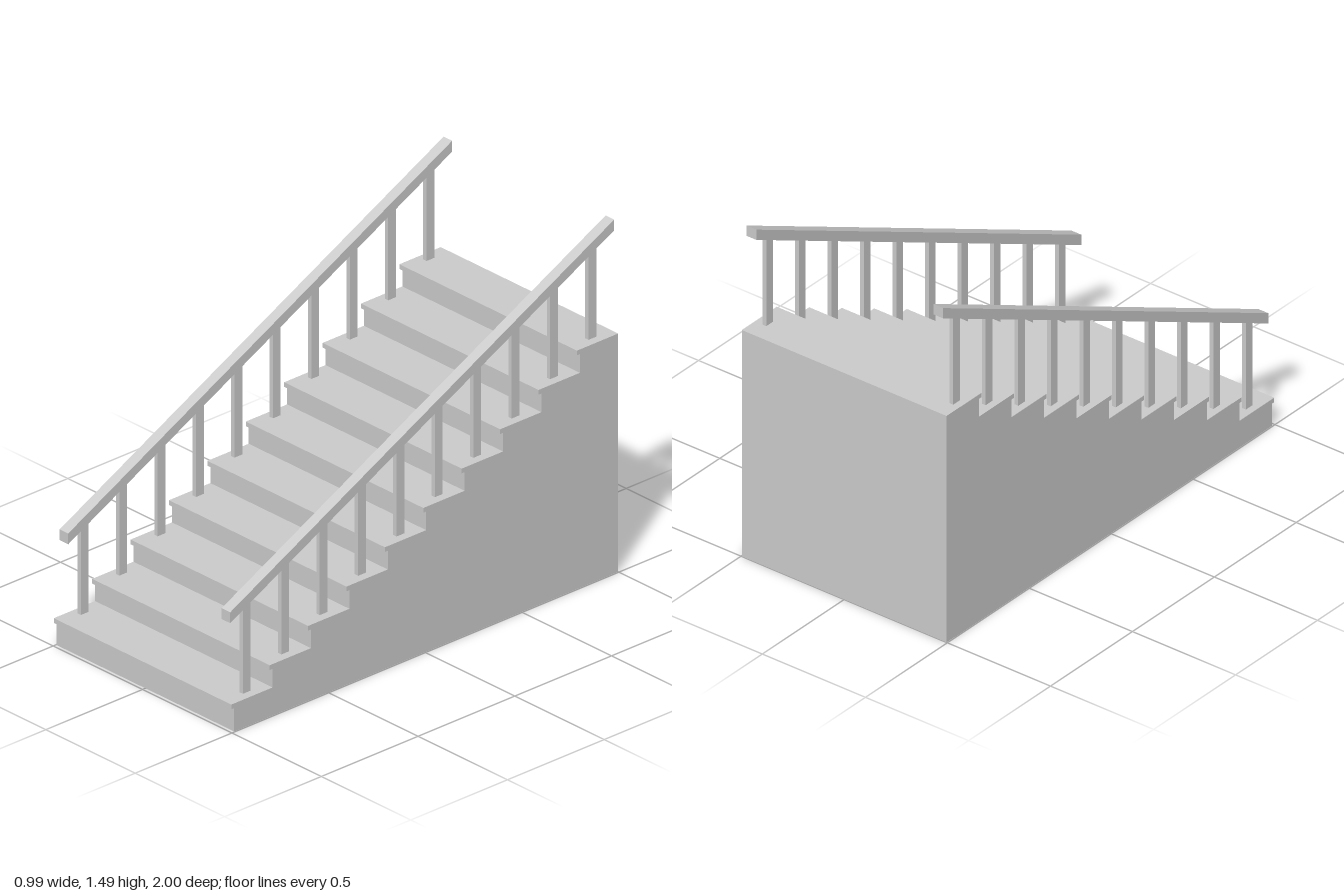
import * as THREE from 'three';

const STEPS = 10;
const RUN = 0.1985, RISE = 0.0993;   // depth and height of one step
const WIDTH = 0.993;
const FRONT = 0.985, BACK = -1;      // first riser and back wall
const TREAD = 0.02, NOSING = 0.015;  // tread thickness and overhang
const RAIL_LOW = 0.452, RAIL_HIGH = 1.443, RAIL_THICK = 0.046, RAIL_WIDTH = 0.048;

const material = new THREE.MeshStandardMaterial({ color: 0xcccccc, flatShading: true });

function addMesh(parent, name, geometry, x = 0, y = 0, z = 0) {
  const mesh = new THREE.Mesh(geometry, material);
  mesh.name = name;
  mesh.position.set(x, y, z);
  parent.add(mesh);
  return mesh;
}

// Extrudes a side outline, given as [z, y] points, across x
function sideExtrude(points, width) {
  const shape = new THREE.Shape(points.map(([z, y]) => new THREE.Vector2(-z, y)));
  const geometry = new THREE.ExtrudeGeometry(shape, { depth: width, bevelEnabled: false });
  geometry.translate(0, 0, -width / 2);
  geometry.rotateY(Math.PI / 2);
  return geometry;
}

export function createModel() {
  const group = new THREE.Group();
  group.name = 'staircase';

  // Solid stepped body
  const outline = [[BACK, 0], [FRONT, 0]];
  for (let i = 0; i < STEPS; i++) {
    const z = FRONT - i * RUN, y = (i + 1) * RISE;
    outline.push([z, y], [z - RUN, y]);
  }
  addMesh(group, 'stairBody', sideExtrude(outline, WIDTH));

  // Treads with a small overhang at the front
  const treads = new THREE.Group();
  treads.name = 'treads';
  group.add(treads);
  const treadGeometry = new THREE.BoxGeometry(WIDTH, TREAD, RUN + NOSING);
  for (let i = 0; i < STEPS; i++) {
    addMesh(treads, 'tread', treadGeometry, 0,
      (i + 1) * RISE + TREAD / 2, FRONT - i * RUN + (NOSING - RUN) / 2);
  }

  // Sloping handrails with one baluster per step
  const railGeometry = sideExtrude([
    [FRONT, RAIL_LOW], [FRONT, RAIL_LOW + RAIL_THICK],
    [BACK, RAIL_HIGH + RAIL_THICK], [BACK, RAIL_HIGH],
  ].reverse(), RAIL_WIDTH);
  const slope = (RAIL_HIGH - RAIL_LOW) / (FRONT - BACK);

  for (const [side, x] of [['right', -0.456], ['left', 0.45]]) {
    const railing = new THREE.Group();
    railing.name = side + 'Railing';
    group.add(railing);
    addMesh(railing, 'handrail', railGeometry, x);
    for (let i = 0; i < STEPS; i++) {
      const z = FRONT - (i + 0.5) * RUN;
      const bottom = (i + 1) * RISE + TREAD;
      const top = RAIL_LOW + slope * (FRONT - z) + RAIL_THICK / 3;
      addMesh(railing, 'baluster', new THREE.BoxGeometry(0.019, top - bottom, 0.04),
        x, (top + bottom) / 2, z);
    }
  }
  return group;
}
